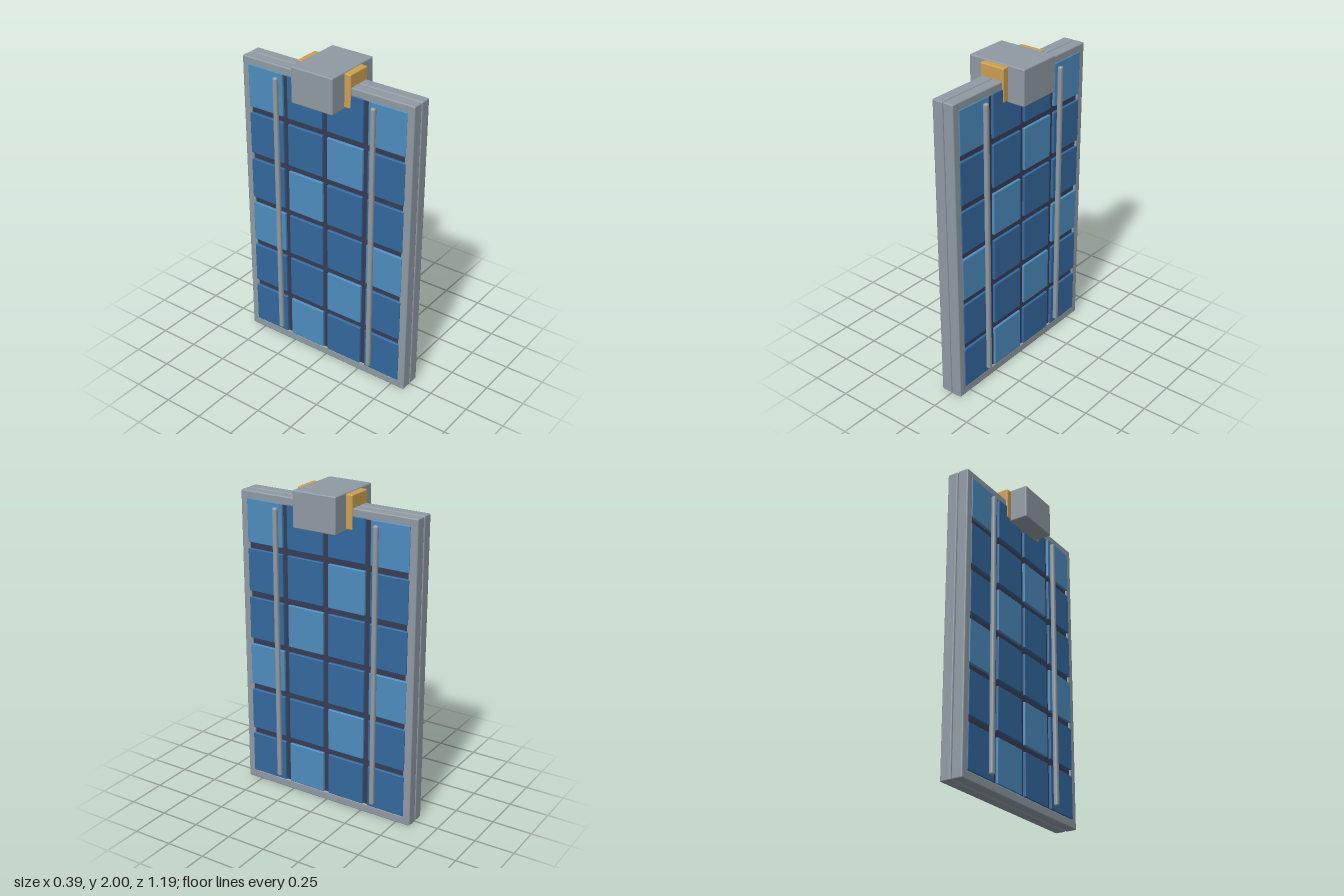
import * as THREE from 'three';
import { RoundedBoxGeometry } from 'three/addons/geometries/RoundedBoxGeometry.js';

const material = (name, color) => {
  const m = new THREE.MeshStandardMaterial({ color });
  m.name = name;
  return m;
};

export function createModel() {
  const grey = material('frame grey', 0x8f9aa3);
  const dark = material('backing navy', 0x363c54);
  const blue = material('cell blue', 0x33689e);
  const light = material('cell light blue', 0x4c8cbe);
  const gold = material('bracket gold', 0xcc9f52);

  // Softly bevelled block given by its size and centre
  const block = (parent, name, mat, size, centre, radius = 0.008) => {
    const mesh = new THREE.Mesh(new RoundedBoxGeometry(...size, 2, radius), mat);
    mesh.name = name;
    mesh.position.set(...centre);
    parent.add(mesh);
    return mesh;
  };

  // One folded panel, facing +x
  const makePanel = (name) => {
    const panel = new THREE.Group();
    panel.name = name;

    // Frame bars
    for (const s of [-1, 1]) {
      block(panel, 'frameSide', grey, [0.07, 1.915, 0.055], [0.037, 0.9575, s * 0.5685]);
      block(panel, 'frameRail', grey, [0.07, 0.055, 1.1], [0.037, 0.9575 + s * 0.93, 0]);
    }
    // Recessed backing plate
    block(panel, 'backing', dark, [0.056, 1.84, 1.1], [0.033, 0.9575, 0], 0.004);

    // Grid of cells, with every third one lighter along the diagonals
    for (let row = 0; row < 6; row++) {
      for (let col = 0; col < 4; col++) {
        const mat = col % 3 === (row + 1) % 3 ? light : blue;
        block(panel, 'cell', mat, [0.022, 0.27, 0.25],
          [0.066, 0.19 + row * 0.309, 0.426 - col * 0.284], 0.005);
      }
    }
    // Long rods running up the face
    for (const s of [-1, 1]) {
      block(panel, 'rod', grey, [0.03, 1.765, 0.032], [0.088, 0.9625, s * 0.341], 0.012);
    }
    return panel;
  };

  const model = new THREE.Group();
  model.name = 'foldedSolarPanels';
  const leftPanel = makePanel('leftPanel');
  const rightPanel = makePanel('rightPanel');
  rightPanel.rotation.y = Math.PI;
  model.add(leftPanel, rightPanel);

  // Hinge bracket and housing across the top
  block(model, 'hingeBracket', gold, [0.164, 0.205, 0.368], [0, 1.89, 0]);
  block(model, 'hingeHousing', grey, [0.388, 0.222, 0.286], [0, 1.889, 0]);
  return model;
}
